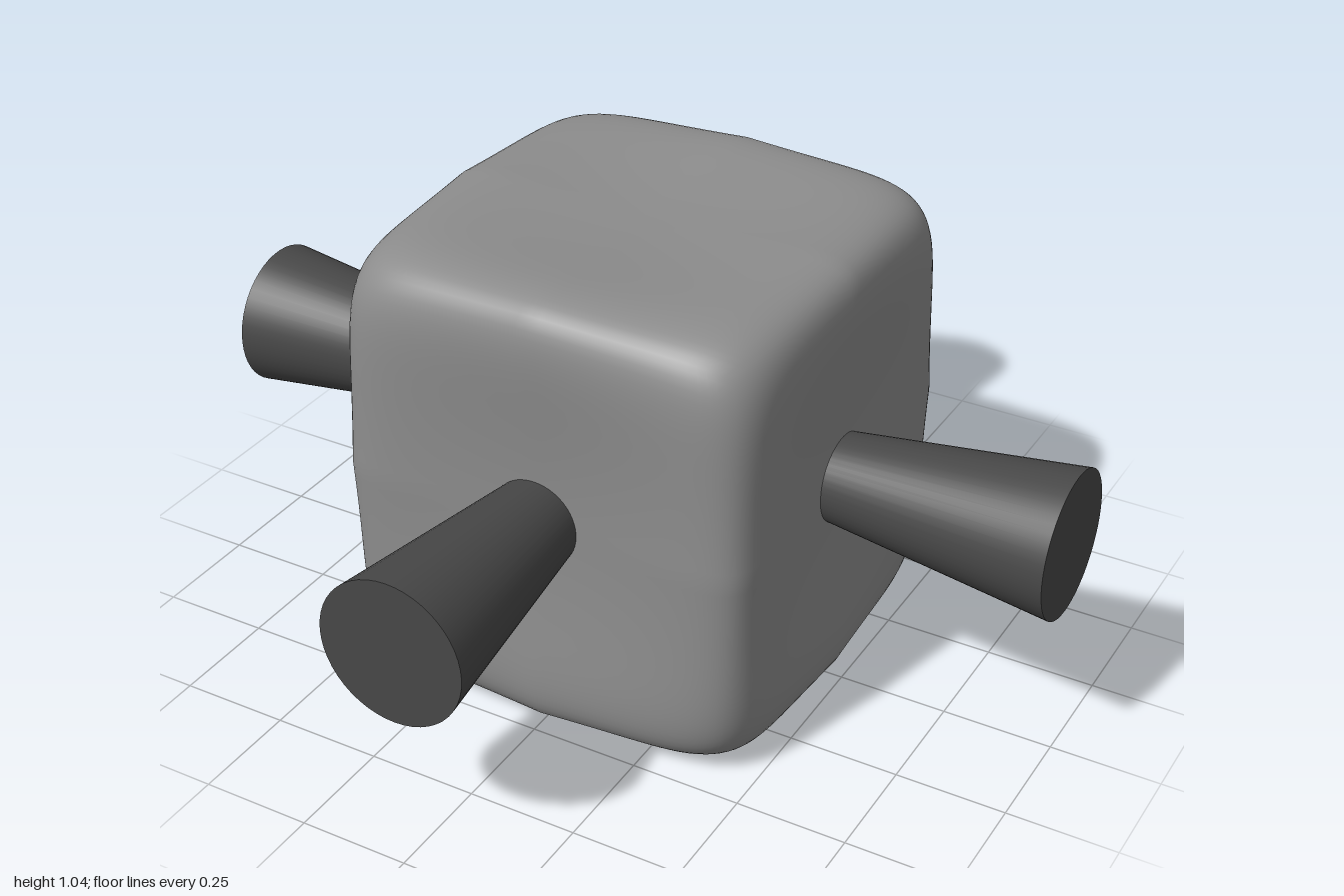
import * as THREE from 'three';
import { mergeVertices } from 'three/addons/utils/BufferGeometryUtils.js';

const bodyGrey = new THREE.MeshStandardMaterial({ color: 0x8c8c8c });
bodyGrey.name = 'bodyGrey';
const legGrey = new THREE.MeshStandardMaterial({ color: 0x484848 });
legGrey.name = 'legGrey';

const CENTRE_Y = 0.523;

// Soft cube: rounded edges, rounder corners and slightly dished faces
function softCubeGeometry() {
  const box = new THREE.BoxGeometry(2, 2, 2, 40, 40, 40);
  box.deleteAttribute('uv');
  box.deleteAttribute('normal');
  const geo = mergeVertices(box, 1e-4);
  const pos = geo.attributes.position;
  const p = new THREE.Vector3();
  const n = 6.5;
  const dish = (v, w) => 1 - 0.105 * (1 - v * v) * (1 - w * w);
  for (let i = 0; i < pos.count; i++) {
    p.fromBufferAttribute(pos, i);
    const sum = Math.abs(p.x) ** n + Math.abs(p.y) ** n + Math.abs(p.z) ** n;
    p.divideScalar(sum ** (1 / n));
    const corner = 1 - 0.06 * Math.abs(p.x * p.y * p.z);
    const flare = 1 + 0.02 * p.y * p.y;
    pos.setXYZ(
      i,
      0.53 * p.x * dish(p.y, p.z) * corner * flare,
      0.56 * p.y * dish(p.x, p.z) * corner,
      0.53 * p.z * dish(p.x, p.y) * corner * flare
    );
  }
  geo.computeVertexNormals();
  return geo;
}

export function createModel() {
  const model = new THREE.Group();
  model.name = 'softCubeWithLegs';

  const body = new THREE.Mesh(softCubeGeometry(), bodyGrey);
  body.name = 'body';
  body.position.y = CENTRE_Y;
  model.add(body);

  // Four flared legs, pointing sideways, forward and back
  const inner = 0.3;
  const legGeo = new THREE.CylinderGeometry(0.165, 0.08, 1 - inner, 48);
  legGeo.rotateX(Math.PI / 2);
  legGeo.translate(0, 0, (1 + inner) / 2);
  ['frontLeg', 'leftLeg', 'backLeg', 'rightLeg'].forEach((name, i) => {
    const leg = new THREE.Mesh(legGeo, legGrey);
    leg.name = name;
    leg.position.y = CENTRE_Y + 0.005;
    leg.rotation.y = (i * Math.PI) / 2;
    model.add(leg);
  });

  return model;
}
